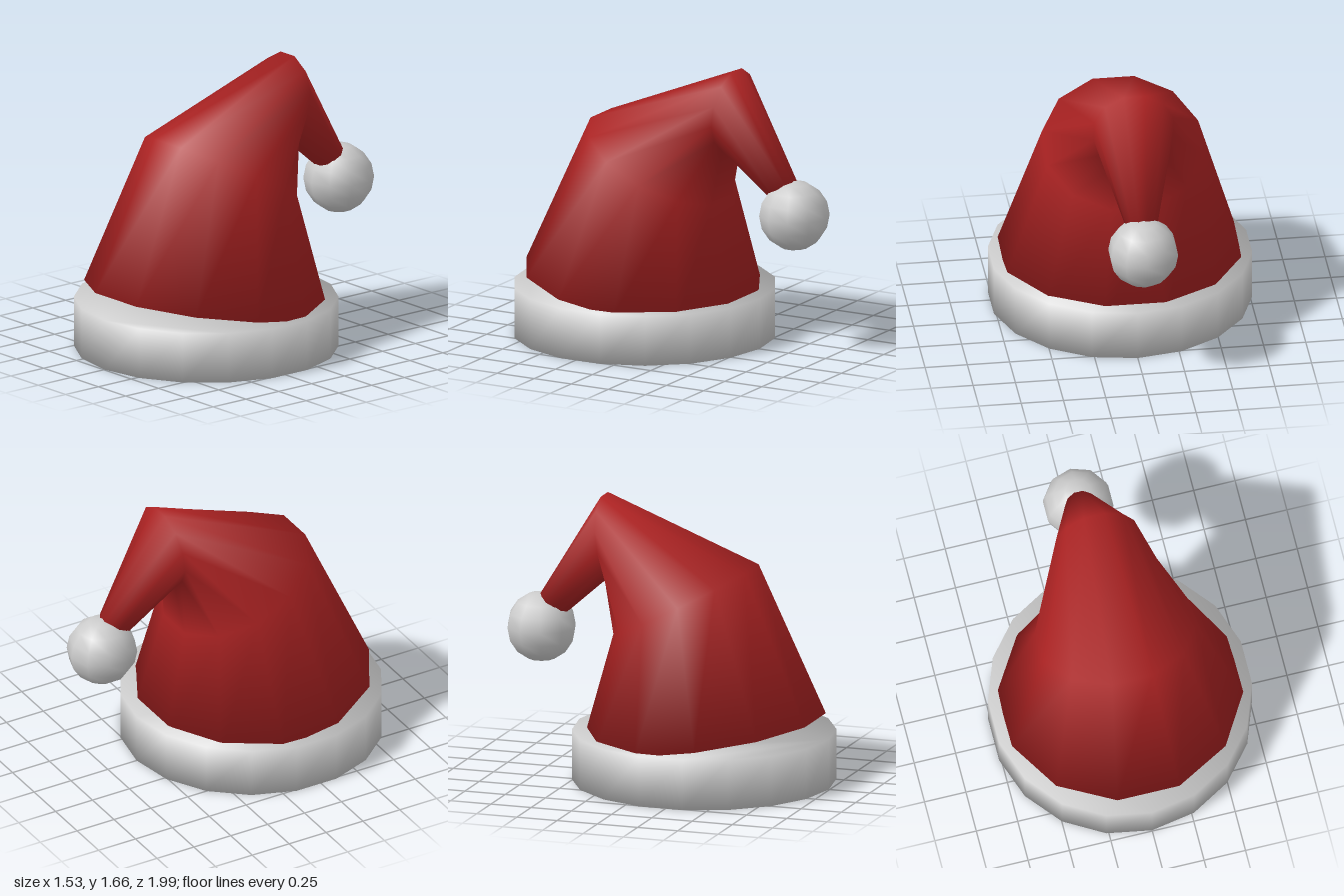
import * as THREE from 'three';

const V = (x, y, z) => new THREE.Vector3(x, y, z);

// Symmetric ring of n points whose foremost and rearmost extents are given as [z, y].
// With flat = true an edge, not a corner, lies at the front.
function ring(n, front, back, flat) {
  const half = Math.PI / n;
  const k = flat ? 1 / Math.cos(half) : 1;
  const dz = (front[0] - back[0]) / 2 * k, dy = (front[1] - back[1]) / 2 * k;
  const mz = (front[0] + back[0]) / 2, my = (front[1] + back[1]) / 2;
  const r = Math.hypot(dz, dy);
  return Array.from({ length: n }, (_, i) => {
    const a = 2 * half * i + (flat ? half : 0);
    return V(r * Math.sin(a), my + dy * Math.cos(a), mz + dz * Math.cos(a));
  });
}

// Smooth normals, each face weighted by its corner angle.
function angleNormals(points, index) {
  const normals = points.map(() => V(0, 0, 0));
  for (let t = 0; t < index.length; t += 3) {
    const tri = index.slice(t, t + 3);
    const p = tri.map(i => points[i]);
    const face = p[1].clone().sub(p[0]).cross(p[2].clone().sub(p[0])).normalize();
    tri.forEach((v, c) => {
      const e1 = p[(c + 1) % 3].clone().sub(p[c]);
      const e2 = p[(c + 2) % 3].clone().sub(p[c]);
      normals[v].addScaledVector(face, e1.angleTo(e2));
    });
  }
  return normals.map(v => v.normalize());
}

// Closed solid through a stack of rings, listed from bottom to top.
function loft(rings) {
  const n = rings[0].length, points = rings.flat(), index = [];
  for (let r = 0; r < rings.length - 1; r++) {
    for (let i = 0; i < n; i++) {
      const j = (i + 1) % n, a = r * n, b = a + n;
      index.push(a + i, a + j, b + j, a + i, b + j, b + i);
    }
  }
  const top = (rings.length - 1) * n;
  for (let i = 1; i < n - 1; i++) {
    index.push(0, i + 1, i, top, top + i, top + i + 1);
  }
  const flatten = list => new THREE.Float32BufferAttribute(list.flatMap(p => p.toArray()), 3);
  const geometry = new THREE.BufferGeometry();
  geometry.setAttribute('position', flatten(points));
  geometry.setAttribute('normal', flatten(angleNormals(points, index)));
  geometry.setIndex(index);
  return geometry;
}

export function createModel() {
  const group = new THREE.Group();
  const red = new THREE.MeshStandardMaterial({ color: 0xaa2222 });
  const grey = new THREE.MeshStandardMaterial({ color: 0xcccccc });
  const add = (name, geometry, material) => {
    const mesh = new THREE.Mesh(geometry, material);
    mesh.name = name;
    group.add(mesh);
    return mesh;
  };

  // Fur band around the base
  add('brim', loft([0, 0.3].map(y => ring(18, [0.995, y], [-0.555, y], false))), grey);

  // Cone that leans back and folds over to the tip
  const sections = [
    [[0.91, 0.41], [-0.47, 0.2]],
    [[0.515, 1.29], [-0.3, 0.86]],
    [[-0.4, 1.665], [-0.34, 1.2]],
    [[-0.79, 1.04], [-0.63, 0.94]],
  ];
  add('cone', loft(sections.map(([f, b]) => ring(12, f, b, true))), red);

  // Ball hanging from the tip
  const ball = add('pompom', new THREE.SphereGeometry(0.208, 10, 8), grey);
  ball.position.set(0, 0.84, -0.79);
  ball.rotation.y = Math.PI / 2;

  return group;
}
